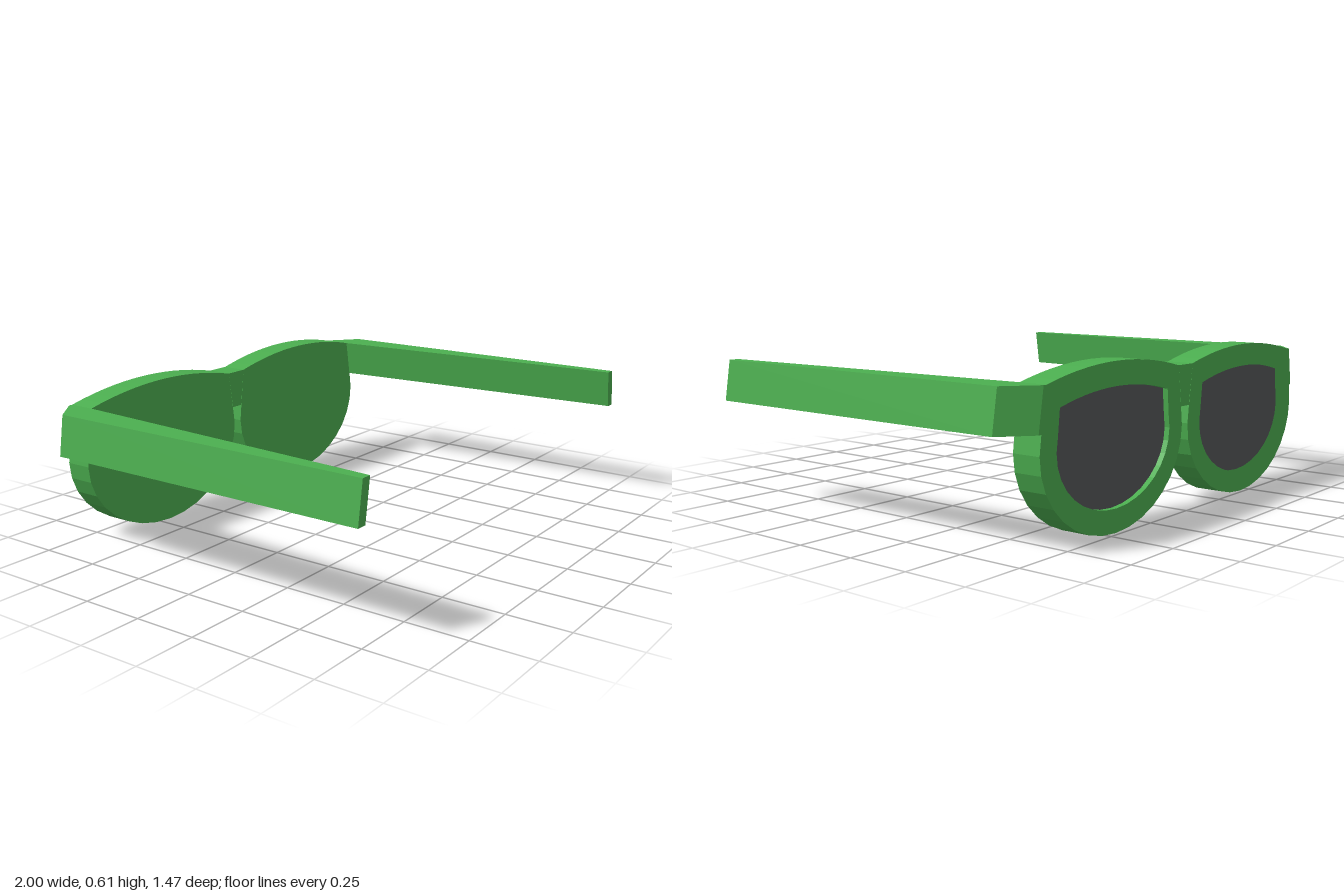
import * as THREE from 'three';

const green = new THREE.MeshStandardMaterial({ color: 0x4caf50, flatShading: true });
const dark = new THREE.MeshStandardMaterial({ color: 0x555759, flatShading: true });

const BACK = -0.735, RECESS = -0.71, FRONT = -0.625; // depth planes of the frame
const LOW = 0.405, HIGH = 0.563;                     // height of arms and bridge

// Rounded outline of one eye: elliptical bowl, leaning sides, shallow arched top
function eyeOutline(side, rx, ry, cornerX, cornerY, rise) {
  const cx = 0.45, cy = 0.335, pts = [];
  for (let i = -1; i <= 17; i++) {
    const a = Math.PI + (i * Math.PI) / 16;
    pts.push(new THREE.Vector2(cx + rx * Math.cos(a), cy + ry * Math.sin(a)));
  }
  for (let i = 0; i <= 14; i++) {
    const t = 1 - i / 7;
    pts.push(new THREE.Vector2(cx + cornerX * t, cornerY + rise * (1 - t * t)));
  }
  return pts.map((p) => new THREE.Vector2(p.x * side, p.y));
}

function slab(name, shape, z0, z1, material) {
  const geo = new THREE.ExtrudeGeometry(shape, { depth: z1 - z0, bevelEnabled: false });
  geo.translate(0, 0, z0);
  const mesh = new THREE.Mesh(geo, material);
  mesh.name = name;
  return mesh;
}

function eye(side, label) {
  const group = new THREE.Group();
  group.name = label + 'Eye';
  const outer = eyeOutline(side, 0.43, 0.333, 0.4, 0.562, 0.048);
  const inner = eyeOutline(side, 0.342, 0.245, 0.325, 0.482, 0.04);
  const rim = new THREE.Shape(outer);
  rim.holes.push(new THREE.Path(inner));
  group.add(
    slab(label + 'Plate', new THREE.Shape(outer), RECESS, FRONT, green),
    slab(label + 'Rim', rim, BACK, RECESS, green),
    slab(label + 'Lens', new THREE.Shape(inner), RECESS - 0.004, RECESS + 0.01, dark),
  );
  return group;
}

// Tapered arm with a chamfered hinge corner, leaning inward toward its top
function arm(side, label) {
  const plan = [[0.87, FRONT], [0.96, 0.735], [1, 0.735], [1, -0.64], [0.885, BACK], [0.86, BACK]];
  const shape = new THREE.Shape(plan.map(([x, z]) => new THREE.Vector2(x * side, -z)));
  const geo = new THREE.ExtrudeGeometry(shape, { depth: HIGH - LOW, bevelEnabled: false });
  geo.rotateX(-Math.PI / 2);
  const pos = geo.attributes.position;
  for (let i = 0; i < pos.count; i++) pos.setX(i, pos.getX(i) - side * 0.16 * pos.getY(i));
  geo.translate(0, LOW, 0);
  geo.computeVertexNormals();
  const mesh = new THREE.Mesh(geo, green);
  mesh.name = label + 'Arm';
  return mesh;
}

export function createModel() {
  const model = new THREE.Group();
  model.name = 'sunglasses';
  for (const [side, label] of [[1, 'left'], [-1, 'right']]) {
    model.add(eye(side, label), arm(side, label));
  }
  // Bridge between the two eyes
  const bridge = [[-0.027, LOW], [0.027, LOW], [0.05, 0.562], [-0.05, 0.562]];
  model.add(slab('bridge', new THREE.Shape(bridge.map(([x, y]) => new THREE.Vector2(x, y))), BACK, FRONT, green));
  return model;
}
